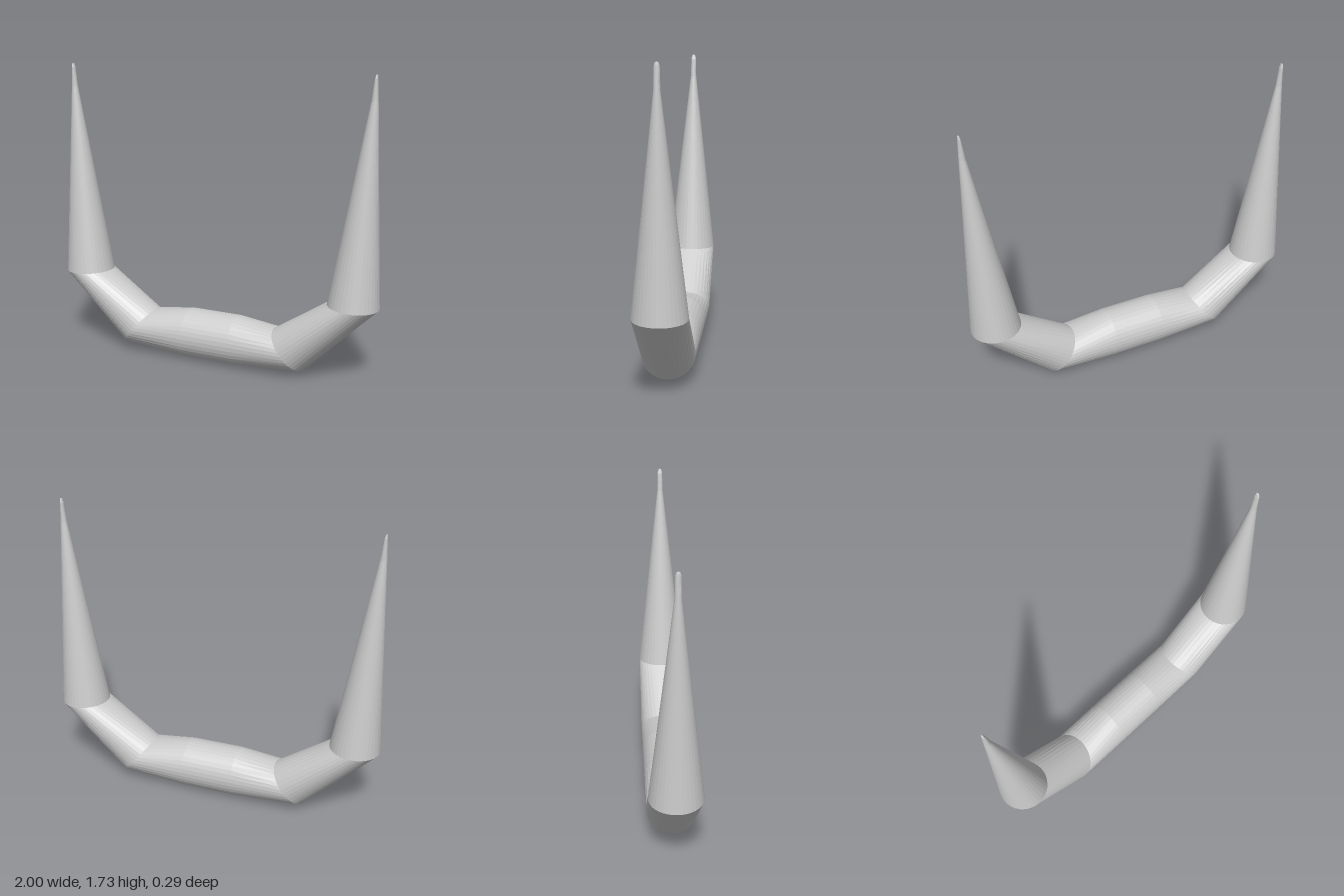
import * as THREE from 'three';

const SIDES = 36;
const material = new THREE.MeshStandardMaterial({ color: 0xcccccc, flatShading: true });

// Each section: inner/top x, y, outer/bottom x, y, half depth
const MIDDLE = [0.155, 0.298, 0.16, 0.004, 0.147];
const BEND = [0.39, 0.262, 0.575, 0.04, 0.147];
const ELBOW = [0.71, 0.468, 1.0, 0.455, 0.147];
const NECK = [0.914, 1.59, 0.952, 1.595, 0.018];
const TIP = [0.927, 1.7, 0.946, 1.715, 0.015];
const ROUND = [0.934, 1.725, 0.944, 1.727, 0.009];
const END = [0.94, 1.73, 0.94, 1.73, 0];

const mirrored = ([ix, iy, ox, oy, d]) => [-ix, iy, -ox, oy, d];
const mirrorRun = (run) => run.map(mirrored).reverse();

// Skin a run of elliptical sections
function loft(name, sections) {
  const positions = [];
  const index = [];
  for (const [ix, iy, ox, oy, depth] of sections) {
    for (let j = 0; j < SIDES; j++) {
      const a = (j / SIDES) * Math.PI * 2;
      const t = (1 + Math.cos(a)) / 2;
      positions.push(ox + (ix - ox) * t, oy + (iy - oy) * t, depth * Math.sin(a));
    }
  }
  for (let i = 0; i < sections.length - 1; i++) {
    for (let j = 0; j < SIDES; j++) {
      const a = i * SIDES + j;
      const b = i * SIDES + ((j + 1) % SIDES);
      index.push(a, b, a + SIDES, b, b + SIDES, a + SIDES);
    }
  }
  const geometry = new THREE.BufferGeometry();
  geometry.setAttribute('position', new THREE.Float32BufferAttribute(positions, 3));
  geometry.setIndex(index);
  geometry.computeVertexNormals();
  const mesh = new THREE.Mesh(geometry, material);
  mesh.name = name;
  return mesh;
}

export function createModel() {
  const model = new THREE.Group();
  model.name = 'hornedBar';

  // Slightly bulging bar across the bottom
  model.add(loft('centreBar', [mirrored(BEND), mirrored(MIDDLE), MIDDLE, BEND]));

  // Mitred rising arms and tapering horns, mirrored left and right
  const arm = [BEND, ELBOW];
  const horn = [ELBOW, NECK, TIP, ROUND, END];
  model.add(loft('leftArm', arm), loft('rightArm', mirrorRun(arm)));
  model.add(loft('leftHorn', horn), loft('rightHorn', mirrorRun(horn)));
  return model;
}
